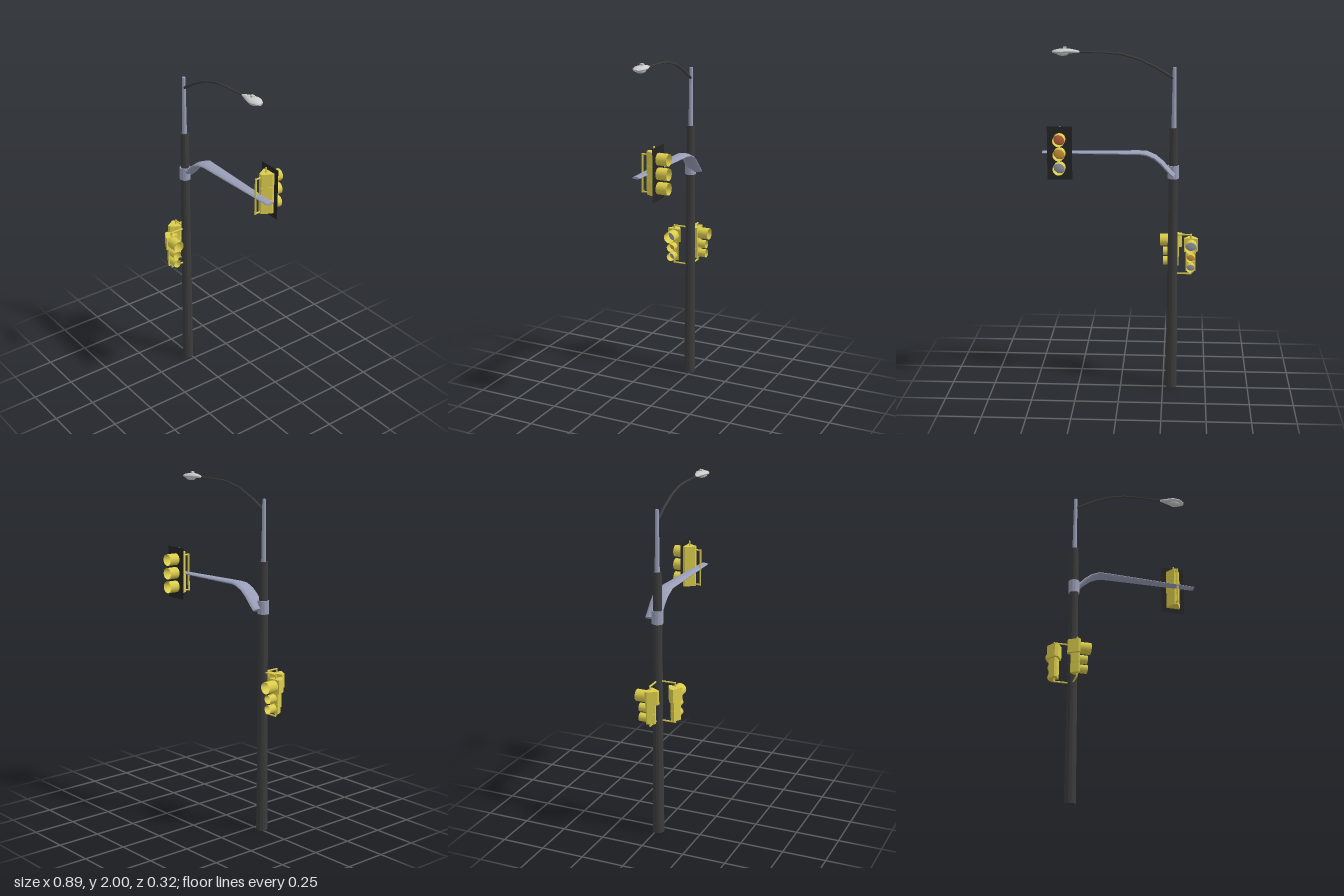
import * as THREE from 'three';
import { toCreasedNormals } from 'three/addons/utils/BufferGeometryUtils.js';

const mat = (color, extra = {}) => {
  const m = new THREE.MeshStandardMaterial({ color, ...extra });
  return m;
};

const PX = -0.3, PZ = 0.012; // pole axis

function createModel() {
  const root = new THREE.Group();
  root.name = 'streetSignal';

  const dark = mat(0x3c3c3c, { flatShading: true });
  const darkSmooth = mat(0x3c3c3c);
  const steel = mat(0x9a9fb8, { flatShading: true });
  const steelSmooth = mat(0x9a9fb8);
  const yellow = mat(0xdccd4c);
  const visorMat = mat(0xdccd4c, { side: THREE.DoubleSide });
  const plateMat = mat(0x242424, { side: THREE.DoubleSide });
  const grey = mat(0xcccccc);
  const lensGrey = mat(0x959bab);
  const lensAmber = mat(0xd39a38);
  const lensRed = mat(0xc8643c);

  const add = (parent, name, geometry, material, x = 0, y = 0, z = 0) => {
    const m = new THREE.Mesh(geometry, material);
    m.name = name;
    m.position.set(x, y, z);
    parent.add(m);
    return m;
  };

  const rod = (parent, name, a, b, r, material) => {
    const p = new THREE.Vector3(...a), d = new THREE.Vector3(...b).sub(p);
    const m = add(parent, name, new THREE.CylinderGeometry(r, r, d.length(), 8), material);
    m.position.copy(p).addScaledVector(d, 0.5);
    m.quaternion.setFromUnitVectors(new THREE.Vector3(0, 1, 0), d.normalize());
    return m;
  };

  // Elliptical sections [x, y, half height, half width] along a path in the xy plane
  const loft = (sections, sides, crease = 0.7) => {
    const pos = [], idx = [], n = sections.length;
    sections.forEach(([x, y, ry, rz], i) => {
      const a = sections[Math.max(i - 1, 0)], b = sections[Math.min(i + 1, n - 1)];
      const len = Math.hypot(b[0] - a[0], b[1] - a[1]);
      const tx = (b[0] - a[0]) / len, ty = (b[1] - a[1]) / len;
      for (let j = 0; j < sides; j++) {
        const t = (j / sides) * Math.PI * 2, c = Math.cos(t) * ry;
        pos.push(x - ty * c, y + tx * c, Math.sin(t) * rz);
      }
    });
    const first = pos.length / 3, last = first + 1;
    pos.push(sections[0][0], sections[0][1], 0, sections[n - 1][0], sections[n - 1][1], 0);
    for (let j = 0; j < sides; j++) {
      const k = (j + 1) % sides, e = (n - 1) * sides;
      for (let i = 0; i < n - 1; i++) {
        const s = i * sides;
        idx.push(s + j, s + k, s + sides + j, s + k, s + sides + k, s + sides + j);
      }
      idx.push(first, k, j, last, e + j, e + k);
    }
    const g = new THREE.BufferGeometry();
    g.setAttribute('position', new THREE.Float32BufferAttribute(pos, 3));
    g.setIndex(idx);
    return toCreasedNormals(g, crease);
  };

  // One lamp section facing +z, its front face at z = 0
  const lampSection = (s, lens) => {
    const g = new THREE.Group();
    g.name = 'lampSection';
    const plan = new THREE.Shape([[-0.04, 0], [0.04, 0], [0.04, 0.012], [0.01, 0.064], [-0.01, 0.064], [-0.04, 0.012]]
      .map(([x, y]) => new THREE.Vector2(x * s, y * s)));
    const body = new THREE.ExtrudeGeometry(plan, { depth: 0.079 * s, bevelEnabled: false });
    body.rotateX(-Math.PI / 2);
    add(g, 'housing', body, yellow, 0, -0.0395 * s, 0);
    const tube = new THREE.CylinderGeometry(0.034 * s, 0.034 * s, 0.065 * s, 20, 1, true).rotateX(Math.PI / 2);
    add(g, 'visor', tube, visorMat, 0, 0, 0.0325 * s);
    const dome = new THREE.SphereGeometry(0.033 * s, 20, 5, 0, Math.PI * 2, 0, Math.PI / 2).rotateX(Math.PI / 2);
    dome.scale(1, 1, 0.25);
    add(g, 'lens', dome, lens, 0, 0, 0.002);
    return g;
  };

  // Stack of sections hanging down from y = 0
  const signalHead = (name, scales, lenses) => {
    const g = new THREE.Group();
    g.name = name;
    let y = 0;
    scales.forEach((s, i) => {
      const section = lampSection(s, lenses[i]);
      section.position.y = y - 0.04 * s;
      y -= 0.08 * s;
      g.add(section);
    });
    root.add(g);
    return g;
  };

  // Pole, upper mast and collar
  add(root, 'pole', new THREE.CylinderGeometry(0.024, 0.033, 1.55, 12), dark, PX, 0.775, PZ);
  add(root, 'upperMast', new THREE.CylinderGeometry(0.010, 0.014, 0.35, 12), steel, PX, 1.715, PZ);
  add(root, 'collar', new THREE.CylinderGeometry(0.032, 0.032, 0.075, 12), steel, PX, 1.2975, PZ);

  // Wide, flat signal arm
  add(root, 'signalArm', loft([
    [-0.3, 1.285, 0.013, 0.046], [-0.27, 1.315, 0.013, 0.046], [-0.235, 1.355, 0.013, 0.046],
    [-0.195, 1.388, 0.013, 0.046], [-0.15, 1.408, 0.013, 0.046], [-0.11, 1.412, 0.012, 0.039],
    [0.44, 1.41, 0.006, 0.023],
  ], 16), steelSmooth, 0, 0, -0.017);

  // Street light arm and head
  add(root, 'lightArm', loft([
    [-0.297, 1.828, 0.008, 0.008], [-0.25, 1.857, 0.008, 0.008], [-0.2, 1.887, 0.007, 0.007],
    [-0.1, 1.935, 0.006, 0.007], [0, 1.962, 0.006, 0.006], [0.1, 1.97, 0.005, 0.006],
    [0.25, 1.972, 0.005, 0.005],
  ], 8), darkSmooth, 0, 0, PZ);
  add(root, 'lightHead', loft([
    [0.228, 1.972, 0.005, 0.006], [0.25, 1.974, 0.009, 0.015], [0.285, 1.976, 0.014, 0.029],
    [0.32, 1.976, 0.015, 0.039], [0.345, 1.975, 0.013, 0.036], [0.365, 1.973, 0.011, 0.025],
    [0.379, 1.971, 0.006, 0.011],
  ], 12), grey, 0, 0, PZ);
  const glass = add(root, 'lightGlass', new THREE.SphereGeometry(1, 16, 10), grey, 0.322, 1.965, PZ);
  glass.scale.set(0.035, 0.016, 0.027);
  add(root, 'lightSensor', new THREE.BoxGeometry(0.017, 0.014, 0.017), grey, 0.31, 1.993, PZ);

  // Overhead signal, facing the back, with back plate and mounting
  const over = signalHead('overheadSignal', [1, 1, 1], [lensRed, lensAmber, lensGrey]);
  over.position.set(0.335, 1.54, -0.095);
  over.rotation.y = Math.PI;
  add(over, 'backPlate', new THREE.PlaneGeometry(0.14, 0.3), plateMat, 0, -0.12, 0.001);
  rod(over, 'topStem', [0, -0.01, -0.025], [0, 0.028, -0.025], 0.005, yellow);
  rod(over, 'mountBar', [0, -0.235, -0.094], [0, -0.018, -0.094], 0.006, yellow);
  for (const y of [-0.022, -0.23])
    rod(over, 'mountArm', [0, y, -0.05], [0, y, -0.096], 0.005, yellow);

  // Two pole-mounted signals with their bracket pipes
  const mounts = [
    { name: 'backSignal', x: -0.405, z: -0.001, turn: Math.PI, stem: [-0.405, PZ] },
    { name: 'sideSignal', x: -0.29, z: 0.117, turn: Math.PI / 2, stem: [PX, 0.117] },
  ];
  for (const { name, x, z, turn, stem: [sx, sz] } of mounts) {
    const head = signalHead(name, [1, 0.72, 0.72], [lensGrey, lensAmber, lensGrey]);
    head.position.set(x, 0.91, z);
    head.rotation.y = turn;
    for (const [y, inner] of [[0.93, 0.9], [0.697, 0.725]]) {
      rod(root, 'bracketPipe', [PX, y, PZ], [sx, y, sz], 0.005, yellow);
      rod(root, 'bracketStem', [sx, y, sz], [sx, inner, sz], 0.005, yellow);
      add(root, 'bracketElbow', new THREE.SphereGeometry(0.006, 8, 6), yellow, sx, y, sz);
    }
  }
  return root;
}

export { createModel };
